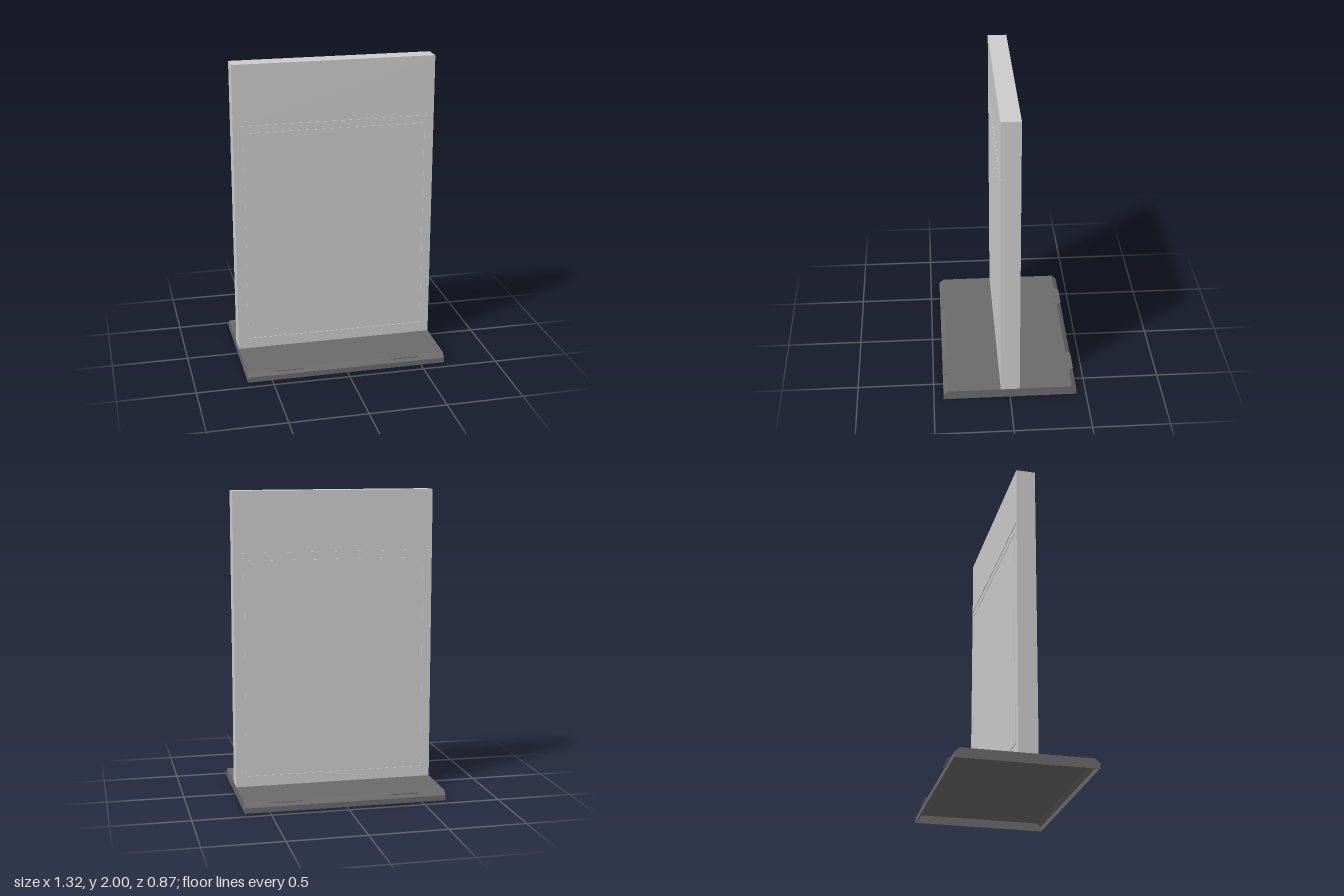
import * as THREE from 'three';

const HALF_W = 0.66, TOP = 2, BASE_H = 0.062, BASE_Z = 0.437, CHAMFER_Z = 0.405;
const SKIN = 0.004, HALF_T = 0.062;

const rectPoints = (x0, y0, x1, y1) =>
  [[x0, y0], [x1, y0], [x1, y1], [x0, y1]].map(([x, y]) => new THREE.Vector2(x, y));

export function createModel() {
  const model = new THREE.Group();
  const light = new THREE.MeshStandardMaterial({ color: 0xcccccc });
  const dark = new THREE.MeshStandardMaterial({ color: 0x6a6a6a });

  const add = (name, geometry, material, parent = model) => {
    const mesh = new THREE.Mesh(geometry, material);
    mesh.name = name;
    parent.add(mesh);
    return mesh;
  };
  const extrude = (shape, depth) =>
    new THREE.ExtrudeGeometry(shape, { depth, bevelEnabled: false, curveSegments: 6 });

  // Upright board core
  const boardH = TOP - BASE_H;
  add('boardCore', new THREE.BoxGeometry(2 * HALF_W, boardH, 2 * (HALF_T - SKIN)), light)
    .position.y = BASE_H + boardH / 2;

  // Facing with a slot and an inset panel outlined by a narrow groove
  const facing = new THREE.Shape(rectPoints(-HALF_W, BASE_H, HALF_W, TOP));
  facing.holes.push(
    new THREE.Path(rectPoints(-0.647, 1.605, 0.647, 1.617)),
    new THREE.Path(rectPoints(-0.6, 0.132, 0.6, 1.563))
  );
  const facingGeometry = extrude(facing, SKIN);
  const panelGeometry = extrude(new THREE.Shape(rectPoints(-0.593, 0.139, 0.593, 1.556)), SKIN);

  // Small rounded tab overhanging the chamfer of the base
  const tab = new THREE.Shape();
  tab.moveTo(-0.095, 0.39);
  tab.lineTo(0.095, 0.39);
  tab.lineTo(0.095, 0.412);
  tab.quadraticCurveTo(0.093, 0.434, 0.073, 0.435);
  tab.lineTo(-0.073, 0.435);
  tab.quadraticCurveTo(-0.093, 0.434, -0.095, 0.412);
  tab.closePath();
  const tabGeometry = extrude(tab, 0.006).rotateX(Math.PI / 2);

  // Front and back carry the same details
  for (const [side, angle] of [['front', 0], ['back', Math.PI]]) {
    const group = new THREE.Group();
    group.name = side + 'Side';
    group.rotation.y = angle;
    model.add(group);
    add('facing', facingGeometry, light, group).position.z = HALF_T - SKIN;
    add('insetPanel', panelGeometry, light, group).position.z = HALF_T - SKIN;
    for (const x of [-0.385, 0.385]) {
      add('baseTab', tabGeometry, dark, group).position.set(x, BASE_H + 0.0005, 0);
    }
  }

  // Hollow base: a chamfered channel along x, closed by two end plates
  const outer = [[-BASE_Z, 0], [-BASE_Z, 0.034], [-CHAMFER_Z, BASE_H],
    [CHAMFER_Z, BASE_H], [BASE_Z, 0.034], [BASE_Z, 0]];
  const wall = 0.008;
  const inner = [[BASE_Z - wall, 0], [BASE_Z - wall, 0.03], [CHAMFER_Z - 0.004, BASE_H - wall],
    [-CHAMFER_Z + 0.004, BASE_H - wall], [-BASE_Z + wall, 0.03], [-BASE_Z + wall, 0]];
  const toShape = (points) => new THREE.Shape(points.map(([z, y]) => new THREE.Vector2(z, y)));
  const alongX = (points, x0, x1) =>
    extrude(toShape(points), x1 - x0).rotateY(Math.PI / 2).translate(x0, 0, 0);

  add('baseChannel', alongX([...outer, ...inner], -HALF_W + wall, HALF_W - wall), dark);
  add('baseEndRight', alongX(outer, -HALF_W, -HALF_W + wall), dark);
  add('baseEndLeft', alongX(outer, HALF_W - wall, HALF_W), dark);

  return model;
}
